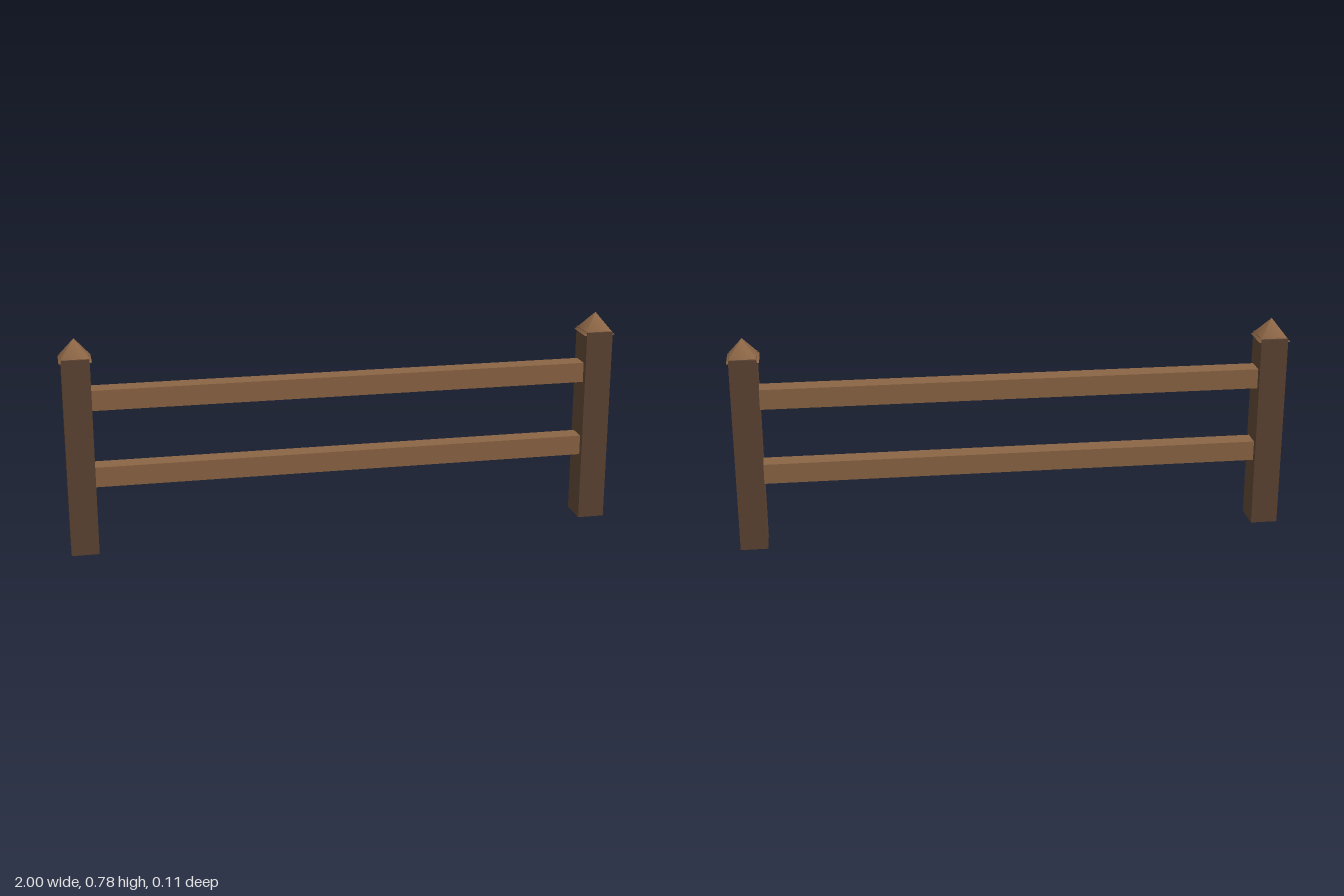
import * as THREE from 'three';

export function createModel() {
  const model = new THREE.Group();
  model.name = 'fence';
  const darkWood = new THREE.MeshStandardMaterial({ color: 0x5c4433 });
  const lightWood = new THREE.MeshStandardMaterial({ color: 0x8b6545 });

  const add = (name, geometry, material, x, y) => {
    const mesh = new THREE.Mesh(geometry, material);
    mesh.name = name;
    mesh.position.set(x, y, 0);
    model.add(mesh);
  };

  // Posts with four-sided pointed caps that overhang in x and sit just below the post top
  const postHeight = 0.716, capBase = 0.705, capHeight = 0.075, capHalf = 0.0565;
  const postGeometry = new THREE.BoxGeometry(0.098, postHeight, 0.114);
  const capGeometry = new THREE.ConeGeometry(capHalf * Math.SQRT2, capHeight, 4).rotateY(Math.PI / 4);
  for (const [side, s] of [['left', 1], ['right', -1]]) {
    add(side + 'Post', postGeometry, darkWood, s * 0.9435, postHeight / 2);
    add(side + 'PostCap', capGeometry, lightWood, s * 0.9435, capBase + capHeight / 2);
  }

  // Two horizontal rails between the posts
  const railGeometry = new THREE.BoxGeometry(1.8, 0.073, 0.07);
  add('upperRail', railGeometry, lightWood, 0, 0.562);
  add('lowerRail', railGeometry, lightWood, 0, 0.281);

  return model;
}
